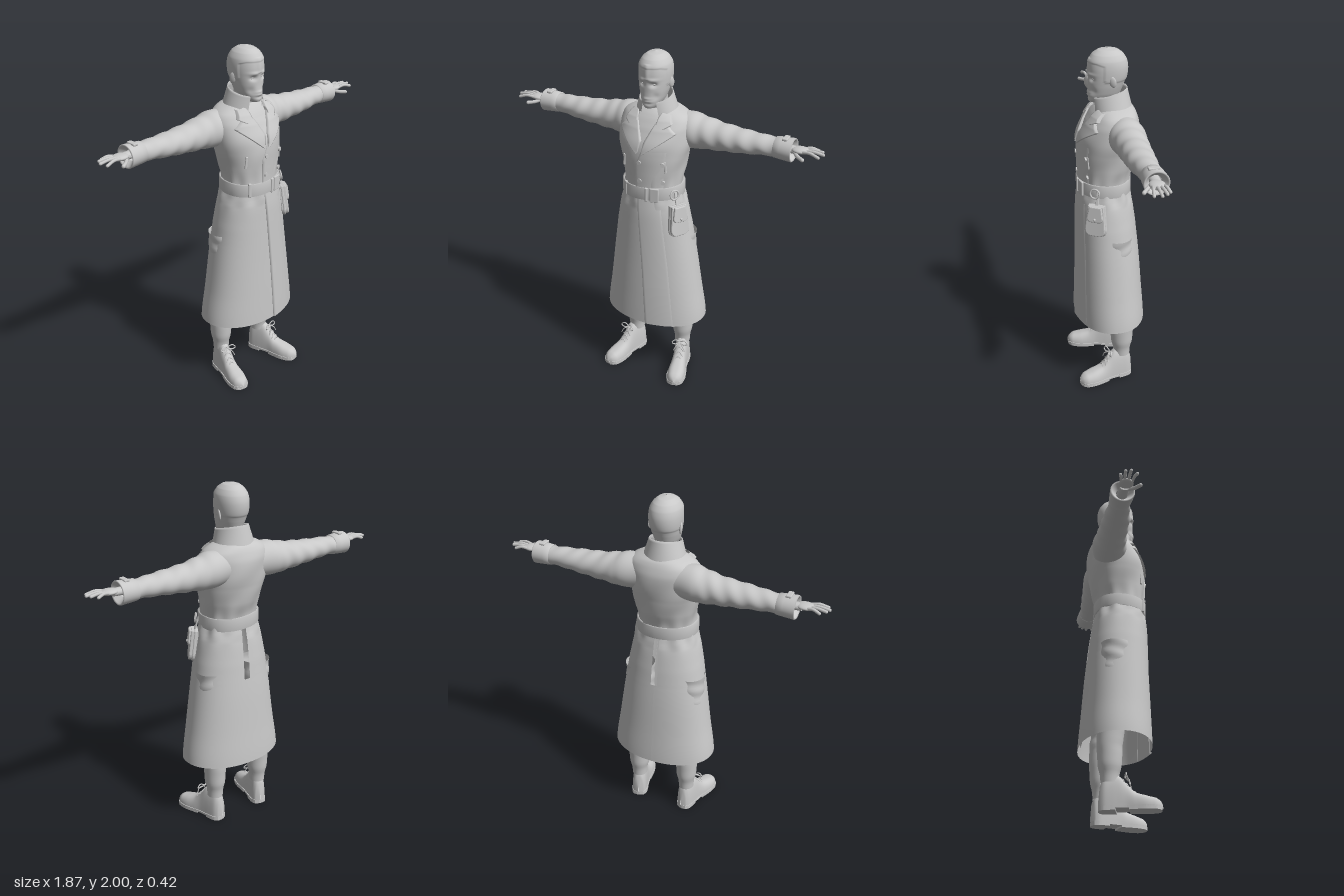
import * as THREE from 'three';
import { RoundedBoxGeometry } from 'three/addons/geometries/RoundedBoxGeometry.js';

const clay = new THREE.MeshStandardMaterial({ color: 0xc8c8c8, side: THREE.DoubleSide });
clay.name = 'plain grey';

const { sin, cos, exp, abs, max, min, PI, sign, pow } = Math;
const clamp = (v, a, b) => min(b, max(a, v));
const spow = (v, p) => sign(v) * pow(abs(v), p);
const gauss = (x, s) => exp(-(x * x) / (s * s));
const step = (a, b, x) => THREE.MathUtils.smoothstep(x, a, b);

// smooth lookup in a table of rows sorted by their first column
function at(T, k) {
  let i = 0;
  while (i < T.length - 2 && k > T[i + 1][0]) i++;
  const f = clamp((k - T[i][0]) / (T[i + 1][0] - T[i][0]), 0, 1);
  return T[i].map((_, c) => {
    const [a, b, d, e] = [-1, 0, 1, 2].map(j => T[clamp(i + j, 0, T.length - 1)][c]);
    return b + 0.5 * f * (d - a + f * (2 * a - 5 * b + 4 * d - e + f * (3 * (b - d) + e - a)));
  });
}

// surface from fn(u, v) -> [x, y, z]; closed joins v = 1 to v = 0
function surface(fn, nu, nv, closed = false) {
  const pos = [], idx = [], w = closed ? nv : nv + 1;
  for (let i = 0; i <= nu; i++) for (let j = 0; j < w; j++) pos.push(...fn(i / nu, j / nv));
  for (let i = 0; i < nu; i++) for (let j = 0; j < nv; j++) {
    const a = i * w + j, b = i * w + (j + 1) % w;
    idx.push(a, a + w, b, b, a + w, b + w);
  }
  const g = new THREE.BufferGeometry();
  g.setAttribute('position', new THREE.Float32BufferAttribute(pos, 3));
  g.setIndex(idx);
  g.computeVertexNormals();
  return g;
}
function add(parent, name, geo, p = [0, 0, 0], r = [0, 0, 0], s = [1, 1, 1]) {
  const m = new THREE.Mesh(geo, clay);
  m.name = name;
  m.position.set(...p); m.rotation.set(...r); m.scale.set(...s);
  parent.add(m);
  return m;
}
const tube = (pts, r, n = 12) => new THREE.TubeGeometry(
  new THREE.CatmullRomCurve3(pts.map(p => new THREE.Vector3(...p))), n, r, 8);

// cross-sections: y, centre x, half width, front z, back z
const TORSO = [[1.2, 0, .168, .165, -.118], [1.27, .003, .163, .163, -.118], [1.35, .003, .175, .165, -.14],
  [1.45, 0, .195, .167, -.16], [1.52, 0, .207, .158, -.17], [1.6, 0, .208, .122, -.17],
  [1.65, 0, .185, .09, -.155], [1.68, 0, .13, .065, -.135], [1.7, 0, .07, .04, -.1]];
const SKIRT = [[.39, .008, .308, .198, -.205], [.6, .008, .278, .193, -.19], [.8, .006, .25, .186, -.175],
  [1, .004, .22, .18, -.155], [1.12, .003, .196, .175, -.138], [1.24, .002, .165, .163, -.115]];
const HEAD = [[1.7, 0, .012, .075, .02], [1.71, 0, .036, .1, -.03], [1.73, 0, .052, .107, -.055],
  [1.76, 0, .066, .107, -.072], [1.8, 0, .077, .105, -.088], [1.85, 0, .085, .105, -.105],
  [1.9, 0, .087, .105, -.109], [1.94, 0, .081, .098, -.1], [1.97, 0, .064, .078, -.08],
  [1.99, 0, .039, .048, -.05], [2, 0, 0, 0, 0]];

function ring(T, y, a, off = 0, n = 2.15) {
  const [, cx, rx, zf, zb] = at(T, y);
  return [cx + (max(0, rx) + off) * spow(cos(a), 2 / n), y, (zf + zb) / 2 + ((zf - zb) / 2 + off) * spow(sin(a), 2 / n)];
}
function frontZ(T, x, y, n = 2.15) {
  const [, cx, rx, zf, zb] = at(T, y);
  return (zf + zb) / 2 + (zf - zb) / 2 * pow(max(0, 1 - pow(min(1, abs((x - cx) / rx)), n)), 1 / n);
}
const waistFolds = (y, a) => .004 * sin(11 * a + 1) * gauss(y - 1.235, .09);

function along(line, u) {
  const f = u * (line.length - 1), i = min(line.length - 2, Math.floor(f)), t = f - i;
  return [0, 1].map(c => line[i][c] * (1 - t) + line[i + 1][c] * t);
}
// cloth panel lying on the front of a body, between an inner and an outer edge line
function panel(T, inner, outer, offIn, offOut) {
  return surface((u, v) => {
    const t = clamp((v * 14 - 1) / 12, 0, 1), p = along(inner, u), q = along(outer, u);
    const x = p[0] + (q[0] - p[0]) * t, y = p[1] + (q[1] - p[1]) * t;
    const edge = v === 0 || v === 1 ? -.004 : offIn + (offOut - offIn) * t;
    return [x, y, frontZ(T, x, y) + edge];
  }, 30, 14);
}

function buildHead(g) {
  add(g, 'head', surface((u, v) => {
    const y = 1.7 + .3 * sin(u * PI / 2), a = v * 2 * PI, p = ring(HEAD, y, a, 0, 2.1), [x, , z] = p;
    if (sin(a) > 0 && y < 1.95) {
      const ax = abs(x);
      p[2] += .033 * gauss(x, .008 + .007 * step(1.84, 1.79, y)) * step(1.775, 1.793, y) * (1 - .85 * step(1.79, 1.855, y)) * step(1.87, 1.84, y);
      p[2] -= .013 * gauss(ax - .034, .017) * gauss(y - 1.842, .012);
      p[2] += .006 * gauss(ax - .03, .028) * gauss(y - 1.868, .009);
      p[2] += .005 * gauss(x, .024) * (gauss(y - 1.765, .006) + gauss(y - 1.75, .006));
      p[2] -= .005 * gauss(x, .03) * gauss(y - 1.737, .007);
      p[2] -= .007 * gauss(ax - .045, .015) * gauss(y - 1.775, .02);
    }
    const hair = .003 * step(-.004, .004, y - (z > .03 ? 1.93 - .3 * max(0, .07 - z) : 1.83));
    p[0] += hair * cos(a); p[2] += hair * sin(a);
    return p;
  }, 90, 96, true));
  add(g, 'neck', surface((u, v) => {
    const a = v * 2 * PI, y = 1.58 + .2 * u;
    return [.06 * cos(a), y, -.025 + .02 * u + .062 * sin(a)];
  }, 6, 32, true));
  for (const s of [1, -1]) {
    add(g, 'ear', new THREE.SphereGeometry(1, 16, 12), [s * .087, 1.835, -.012], [.2, s * -.35, 0], [.008, .031, .019]);
    add(g, 'eye', new THREE.SphereGeometry(.009, 12, 10), [s * .033, 1.842, .08], [0, 0, 0], [1.3, .7, 1]);
  }
}

function buildCoat(g) {
  add(g, 'coatBody', surface((u, v) => {
    const a = v * 2 * PI, y = 1.2 + .5 * u;
    return ring(TORSO, y, a, waistFolds(y, a) + .002 * sin(5 * a + y * 30));
  }, 44, 72, true));
  // skirt, open at the back vent
  add(g, 'coatSkirt', surface((u, v) => {
    const y = .39 + .85 * u, gap = .07 * step(.9, .45, y), a = -PI / 2 + gap + v * (2 * PI - 2 * gap);
    const p = ring(SKIRT, y, a, waistFolds(y, a) + .004 * sin(8 * a) * step(1.15, .5, y));
    p[1] += .008 * cos(a) * cos(a) * (1 - u);
    return p;
  }, 44, 110));
  add(g, 'ventFlap', surface((u, v) => {
    const y = .4 + .5 * u, x = -.05 + .1 * v;
    return [x, y, at(SKIRT, y)[4] + .014 + .3 * x * x];
  }, 16, 6));
  add(g, 'skirtOverlap', panel(SKIRT, [[.035, .392], [.012, .75], [-.025, 1.21]], [[.2, .397], [.16, .75], [.1, 1.21]], .009, 0));
  add(g, 'chestOverlap', panel(TORSO, [[-.035, 1.25], [-.035, 1.4], [.0, 1.49]], [[.11, 1.25], [.12, 1.4], [.13, 1.49]], .008, 0));
  // lapels and folded collar points
  for (const s of [1, -1]) {
    const flip = l => l.map(([x, y]) => [s * x, y]), b = s > 0 ? .0 : .025;
    add(g, 'lapel', panel(TORSO, flip([[b, 1.475], [.01, 1.54], [.045, 1.62], [.075, 1.675]]),
      flip([[b + .005, 1.47], [.165, 1.585], [.12, 1.625], [.1, 1.655]]), .012, .014));
    add(g, 'collarPoint', panel(TORSO, flip([[.06, 1.635], [.06, 1.665], [.07, 1.685]]),
      flip([[.1, 1.612], [.138, 1.632], [.115, 1.675]]), .018, .02));
  }
  // standing collar with an open front; a doubled wall gives the rim
  add(g, 'collar', surface((u, v) => {
    const a = -PI / 2 + (v * 2 - 1) * (PI - .5), f = (1 + sin(a)) / 2;
    const t = min(1, 2 * u, 2 - 2 * u), inside = u > .5 ? .008 : 0;
    const y = (1.675 - .015 * f) * (1 - t) + (1.785 - .045 * f) * t;
    return [(.118 - .031 * t - inside) * cos(a), y, -.022 + .014 * t + (.112 - .012 * t - inside) * sin(a)];
  }, 16, 60));
  for (const x of [-.012, .115]) for (const y of [1.31, 1.42])
    add(g, 'button', new THREE.CylinderGeometry(.012, .012, .012, 16), [x, y, frontZ(TORSO, x, y) + .007], [PI / 2, 0, x > 0 ? -.35 : 0]);
  for (const s of [1, -1])
    add(g, 'pocketWelt', new RoundedBoxGeometry(.014, .07, .01, 2, .004), [s * .125, 1.4, frontZ(TORSO, .125, 1.4) + .001], [0, s * .5, s * .1]);
}

function buildBelt(g) {
  const profile = [[-.036, .002], [-.035, .012], [.035, .012], [.036, .002]];
  add(g, 'belt', surface((u, v) => {
    const [dy, off] = profile[Math.round(u * 3)], p = ring(TORSO, 1.235, v * 2 * PI, off);
    p[1] += dy + .004 * sin(v * 4 * PI);
    return p;
  }, 3, 80, true));
  for (const [x, w] of [[.075, .05], [-.11, .018], [.03, .016]])
    add(g, w > .03 ? 'buckle' : 'beltLoop', new RoundedBoxGeometry(w, .084, .014, 2, .005),
      [x, 1.235, frontZ(TORSO, x, 1.235) + .012], [0, x * 3, 0]);
}

function buildPouch(g) {
  const pouch = new THREE.Group();
  pouch.name = 'beltPouch';
  pouch.position.set(.19, 1.085, .1);
  pouch.rotation.set(-.12, 1.02, 0, 'YXZ');
  const bag = (w, top, bottom, r, depth) => {
    const s = new THREE.Shape();
    s.moveTo(-w * .75, top); s.lineTo(w * .75, top); s.lineTo(w, bottom + r);
    s.quadraticCurveTo(w, bottom, w - r, bottom); s.lineTo(r - w, bottom);
    s.quadraticCurveTo(-w, bottom, -w, bottom + r); s.closePath();
    return new THREE.ExtrudeGeometry(s, { depth, bevelEnabled: true, bevelSize: .006, bevelThickness: .006, bevelSegments: 3, curveSegments: 8 });
  };
  add(pouch, 'pouchBody', bag(.053, .08, -.085, .035, .032), [0, 0, -.014]);
  add(pouch, 'pouchRim', bag(.057, .082, -.09, .037, .004), [0, 0, -.004]);
  add(pouch, 'pouchFlap', bag(.04, .078, .0, .02, .008), [0, 0, .022]);
  add(pouch, 'pouchStud', new THREE.SphereGeometry(.008, 12, 8), [0, .012, .037]);
  add(pouch, 'pouchStrap', new RoundedBoxGeometry(.018, .1, .01, 2, .004), [0, .115, -.004], [-.15, 0, 0]);
  add(pouch, 'pouchRing', new THREE.TorusGeometry(.026, .005, 8, 24), [-.015, .15, .004]);
  g.add(pouch);
}

// sleeve sections: x, centre y, centre z, half height, half depth
const SLEEVE = [[.1, 1.565, -.065, .095, .085], [.2, 1.563, -.066, .1, .1], [.25, 1.558, -.07, .091, .093],
  [.35, 1.553, -.072, .077, .083], [.5, 1.553, -.072, .063, .075], [.6, 1.555, -.076, .055, .062], [.69, 1.555, -.08, .05, .054]];

function buildArm(g) {
  add(g, 'sleeve', surface((u, v) => {
    const x = .1 + .59 * u, a = v * 2 * PI, [, cy, cz, ry, rz] = at(SLEEVE, x);
    const k = 1 + .035 * sin(x * 62 + 2.2 * sin(a) + 1.5 * cos(a)) * step(.2, .3, x);
    return [x, cy + ry * k * sin(a), cz + rz * k * cos(a)];
  }, 60, 40, true));
  // turned-back cuff with a hollow end
  const cuff = [[.668, .045], [.665, .057], [.7, .06], [.762, .064], [.767, .06], [.762, .054], [.73, .03]];
  add(g, 'cuff', surface((u, v) => {
    const [x, r] = cuff[Math.round(u * 6)], a = v * 2 * PI;
    return [x, 1.556 + r * sin(a), -.08 + r * 1.04 * cos(a)];
  }, 6, 40, true));
  add(g, 'cuffStrap', new RoundedBoxGeometry(.03, .014, .06, 2, .005), [.72, 1.617, -.075]);
  add(g, 'wrist', new THREE.CylinderGeometry(.026, .03, .1, 20), [.74, 1.563, -.075], [0, 0, -PI / 2], [.75, 1, 1]);
  add(g, 'palm', new THREE.SphereGeometry(1, 24, 16), [.805, 1.57, -.07], [0, 0, 0], [.05, .016, .04]);
  const tips = [[.888, 1.567, -.112], [.917, 1.572, -.09], [.928, 1.57, -.063], [.912, 1.565, -.028]];
  tips.forEach((t, i) => {
    const base = [.82, 1.571, -.097 + i * .018], mid = [(base[0] + t[0]) / 2, 1.577, (base[2] + t[2]) / 2];
    add(g, 'finger', tube([base, mid, t], .0085));
    add(g, 'fingertip', new THREE.SphereGeometry(.0085, 10, 8), t);
  });
  add(g, 'thumb', tube([[.775, 1.562, -.055], [.805, 1.553, -.022], [.838, 1.55, .002]], .0105));
  add(g, 'thumbTip', new THREE.SphereGeometry(.0105, 10, 8), [.838, 1.55, .002]);
}

// trouser leg: y, centre z, radius; boot: length, half width, height
const LEG = [[.15, -.055, .046], [.2, -.055, .05], [.24, -.055, .06], [.3, -.055, .064], [.37, -.055, .068], [.6, -.03, .08], [.95, -.02, .085]];
const BOOT = [[-.062, .004, .06], [-.055, .028, .13], [-.03, .042, .185], [.01, .044, .195], [.05, .043, .185], [.09, .043, .14],
  [.13, .048, .1], [.19, .053, .08], [.24, .045, .066], [.262, .028, .05], [.272, .004, .03]];

function buildLeg(g) {
  add(g, 'trouserLeg', surface((u, v) => {
    const y = .15 + .8 * u, a = v * 2 * PI, [, cz, r] = at(LEG, y);
    const k = r + .003 * sin(y * 75 + 2 * sin(a)) * step(.45, .35, y);
    return [.158 + k * .97 * cos(a), y, cz + k * 1.04 * sin(a)];
  }, 50, 32, true));
  const boot = new THREE.Group();
  boot.name = 'boot';
  boot.position.set(.16, 0, -.052);
  boot.rotation.y = .25;
  add(boot, 'bootUpper', surface((u, v) => {
    const s = -.062 + .334 * u, [, w, h] = at(BOOT, s), a = v * PI;
    return [max(0, w) * spow(cos(a), .75), .012 + (h - .012) * spow(sin(a), .8), s];
  }, 40, 28));
  const outline = (from, to) => {
    const pts = [];
    for (let i = 0; i <= 24; i++) { const s = from + (to - from) * i / 24; pts.push(new THREE.Vector2(max(.004, at(BOOT, s)[1]) + .004, -s)); }
    return new THREE.Shape([...pts, ...pts.map(p => new THREE.Vector2(-p.x, p.y)).reverse()]);
  };
  const slab = (from, to, depth) => new THREE.ExtrudeGeometry(outline(from, to), { depth, bevelEnabled: false });
  add(boot, 'sole', slab(-.062, .272, .012), [0, .01, 0], [-PI / 2, 0, 0]);
  add(boot, 'heel', slab(-.062, .03, .024), [0, 0, 0], [-PI / 2, 0, 0]);
  add(boot, 'foreSole', slab(.1, .268, .012), [0, 0, 0], [-PI / 2, 0, 0]);
  // laces and bow
  for (let i = 0; i < 4; i++) {
    const s = .065 + i * .02, h = at(BOOT, s)[2];
    for (const d of [1, -1])
      add(boot, 'lace', tube([[-.026 * d, h - .02, s - .006], [0, h + .002, s], [.026 * d, h - .02, s + .01]], .0035, 8));
  }
  for (const d of [1, -1]) {
    add(boot, 'bowLoop', tube([[0, .182, .075], [d * .03, .198, .085], [d * .048, .178, .09], [d * .025, .172, .09], [0, .18, .076]], .0035, 16));
    add(boot, 'bowEnd', tube([[0, .18, .078], [d * .02, .165, .1], [d * .035, .135, .105]], .003, 8));
  }
  g.add(boot);
}

export function createModel() {
  const model = new THREE.Group();
  model.name = 'manInLongCoat';
  buildHead(model);
  buildCoat(model);
  buildBelt(model);
  buildPouch(model);
  for (const s of [1, -1]) {
    const half = new THREE.Group();
    half.name = s > 0 ? 'leftLimbs' : 'rightLimbs';
    buildArm(half);
    buildLeg(half);
    half.scale.x = s;
    model.add(half);
  }
  return model;
}
